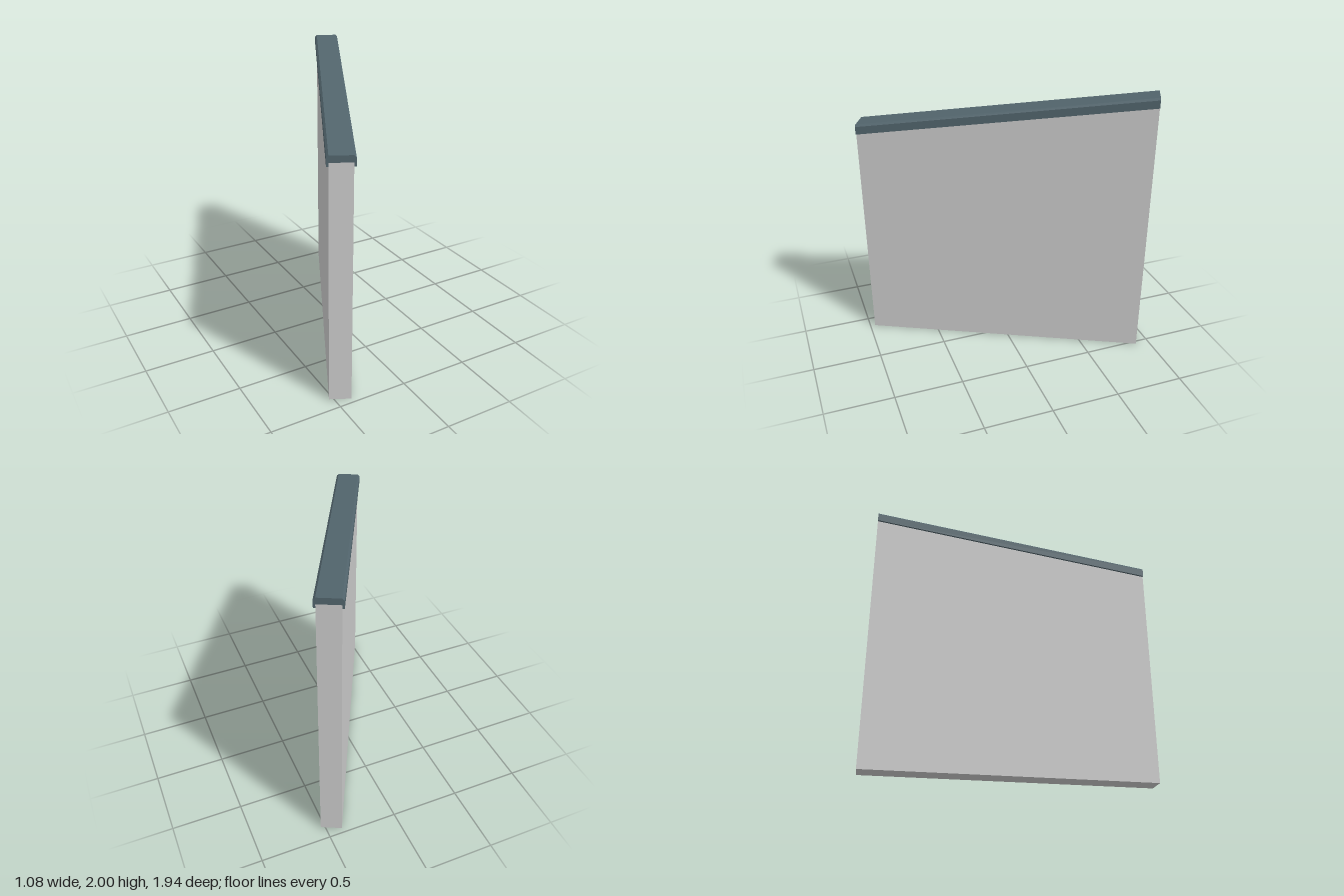
import * as THREE from 'three';

const LENGTH = 2.077;
const SLOPE = 0.28 / LENGTH;   // rise of the top towards the back
const WALL = 0.15;             // wall thickness
const HALF = LENGTH / 2;

const shapeFrom = (points) => new THREE.Shape(points.map(([x, y]) => new THREE.Vector2(x, y)));

export function createModel() {
  const model = new THREE.Group();
  model.name = 'slopedWall';

  // Wall panel: side outline with a sloping top, extruded through its thickness
  const wallGeo = new THREE.ExtrudeGeometry(
    shapeFrom([[-HALF, 0], [HALF, 0], [HALF, 1.675], [-HALF, 1.955]]),
    { depth: WALL, bevelEnabled: false }
  );
  wallGeo.translate(0, 0, -WALL / 2).rotateY(-Math.PI / 2);
  const wall = new THREE.Mesh(wallGeo, new THREE.MeshStandardMaterial({ color: 0xcccccc }));
  wall.name = 'wallPanel';

  // Coping: chamfered channel that sits over the wall top, sheared to the slope
  const w = 0.089, inner = WALL / 2, c = 0.014;
  const copingGeo = new THREE.ExtrudeGeometry(
    shapeFrom([
      [-w, 1.79], [-inner, 1.79], [-inner, 1.815], [inner, 1.815], [inner, 1.79], [w, 1.79],
      [w, 1.86 - c], [w - c, 1.86], [-w + c, 1.86], [-w, 1.86 - c],
    ]),
    { depth: LENGTH, bevelEnabled: false }
  );
  copingGeo.translate(0, 0, -HALF);
  const pos = copingGeo.attributes.position;
  for (let i = 0; i < pos.count; i++) pos.setY(i, pos.getY(i) - SLOPE * pos.getZ(i));
  copingGeo.computeVertexNormals();
  const coping = new THREE.Mesh(copingGeo, new THREE.MeshStandardMaterial({ color: 0x52656d }));
  coping.name = 'coping';

  // Both parts stand diagonally across the plan
  const panel = new THREE.Group();
  panel.name = 'panel';
  panel.add(wall, coping);
  panel.rotation.y = -0.461;
  model.add(panel);
  return model;
}
